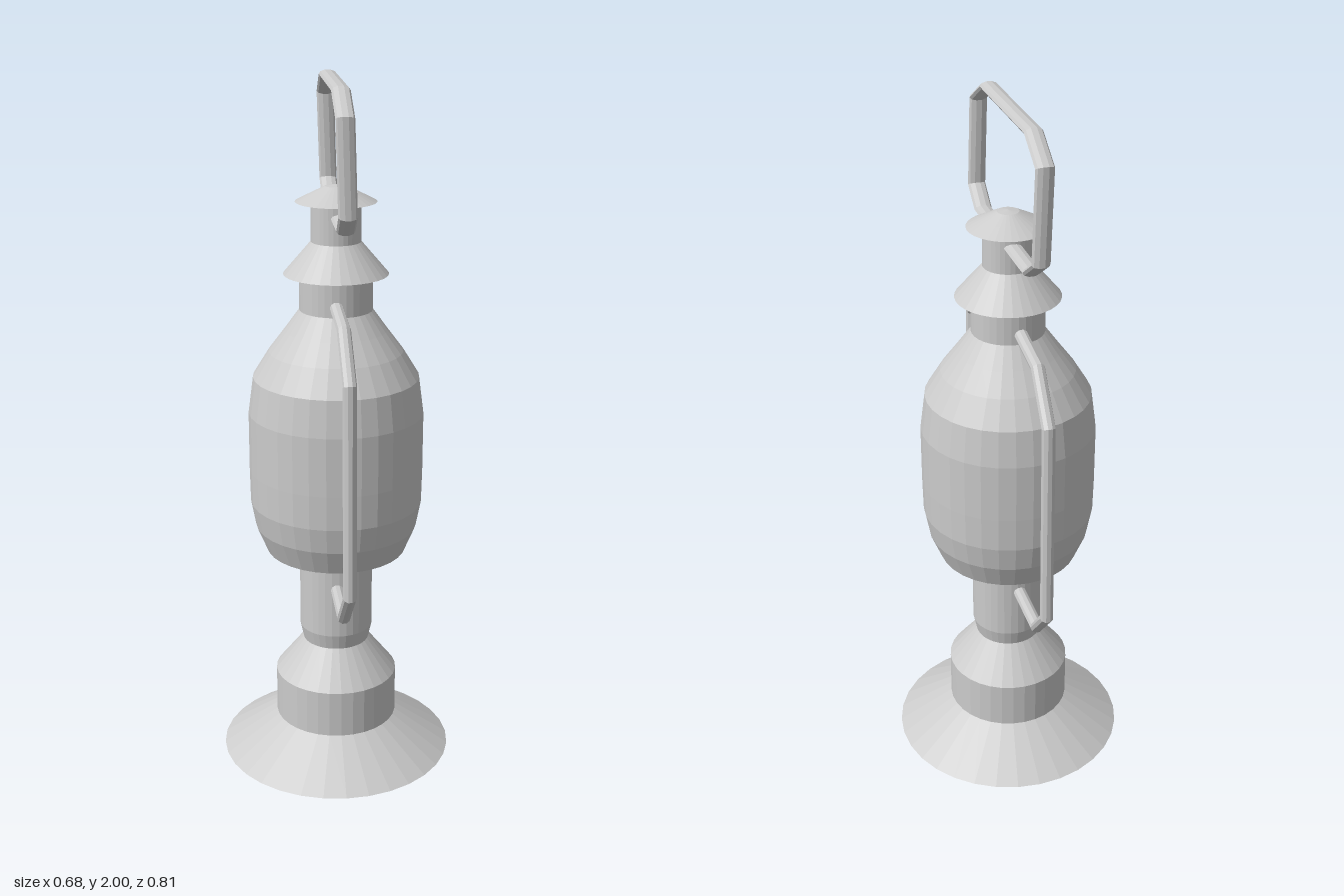
import * as THREE from 'three';

const SIDES = 32;
const material = new THREE.MeshStandardMaterial({ color: 0xcccccc, flatShading: true, side: THREE.DoubleSide });

// Turned part from [radius, height] pairs, listed from bottom to top
function turned(name, profile) {
  const points = profile.map(([r, y]) => new THREE.Vector2(r, y));
  const mesh = new THREE.Mesh(new THREE.LatheGeometry(points, SIDES), material);
  mesh.name = name;
  return mesh;
}

// Mitred bar along [z, y, x] points; rx and rp are its half widths across and within the plane
function bar(name, path, rx, rp, sides = 10) {
  const positions = [], index = [];
  const pts = path.map(([z, y]) => new THREE.Vector2(z, y));
  pts.forEach((p, i) => {
    const before = p.clone().sub(pts[Math.max(i - 1, 0)]).normalize();
    const after = pts[Math.min(i + 1, pts.length - 1)].clone().sub(p).normalize();
    const dir = before.clone().add(after).normalize();
    const cos = i === 0 || i === pts.length - 1 ? 1 : dir.dot(after);
    for (let k = 0; k < sides; k++) {
      const a = (k / sides) * Math.PI * 2;
      const offset = (rp * Math.sin(a)) / cos;
      positions.push(path[i][2] + rx * Math.cos(a), p.y + dir.x * offset, p.x - dir.y * offset);
      if (i === 0) continue;
      const n = (k + 1) % sides, low = (i - 1) * sides, high = i * sides;
      index.push(low + k, high + k, low + n, low + n, high + k, high + n);
    }
  });
  const geometry = new THREE.BufferGeometry();
  geometry.setAttribute('position', new THREE.Float32BufferAttribute(positions, 3));
  geometry.setIndex(index);
  geometry.computeVertexNormals();
  const mesh = new THREE.Mesh(geometry, material);
  mesh.name = name;
  return mesh;
}

export function createModel() {
  const lantern = new THREE.Group();
  lantern.name = 'lantern';

  // Hollow foot, open underneath, with the drum and shoulder above it
  lantern.add(turned('base', [[0.342, 0], [0.18, 0.11], [0.18, 0.25], [0.097, 0.355]]));

  // Column between base and globe
  lantern.add(turned('column', [[0.097, 0.355], [0.107, 0.4], [0.107, 0.65]]));

  // Rounded globe with a flat underside
  lantern.add(turned('globe', [
    [0.107, 0.65], [0.203, 0.65], [0.234, 0.725], [0.248, 0.8], [0.25, 0.9], [0.25, 1.07],
    [0.236, 1.175], [0.19, 1.25], [0.145, 1.31], [0.103, 1.368],
  ]));

  // Collar, flared hood and chimney
  lantern.add(turned('collar', [[0.103, 1.368], [0.103, 1.47]]));
  lantern.add(turned('hood', [[0.103, 1.47], [0.147, 1.47], [0.07, 1.56]]));
  lantern.add(turned('chimney', [[0.07, 1.56], [0.07, 1.67]]));

  // Shallow domed cap
  lantern.add(turned('cap', [[0.07, 1.67], [0.113, 1.67], [0.07, 1.692], [0.03, 1.712], [0, 1.716]]));

  // Guard bars at front and back
  const guard = [
    [0.06, 1.4, -0.008], [0.265, 1.378, -0.003], [0.377, 1.258, 0.002],
    [0.387, 0.662, 0.003], [0.282, 0.552, -0.003], [0.06, 0.55, -0.006],
  ];
  for (const [name, side] of [['frontGuardBar', 1], ['backGuardBar', -1]]) {
    lantern.add(bar(name, guard.map(([z, y, x]) => [z * side, y, x]), 0.019, 0.017));
  }

  // Carrying handle, leaning slightly to the right
  const half = [[0.05, 1.634], [0.228, 1.634], [0.3, 1.683], [0.3, 1.93], [0.2, 1.988]];
  const loop = [...half, ...half.slice().reverse().map(([z, y]) => [-z, y])];
  lantern.add(bar('carryingHandle', loop.map(([z, y]) => [z, y, 0.005 - (y - 1.634) * 0.03]), 0.025, 0.012));

  return lantern;
}
